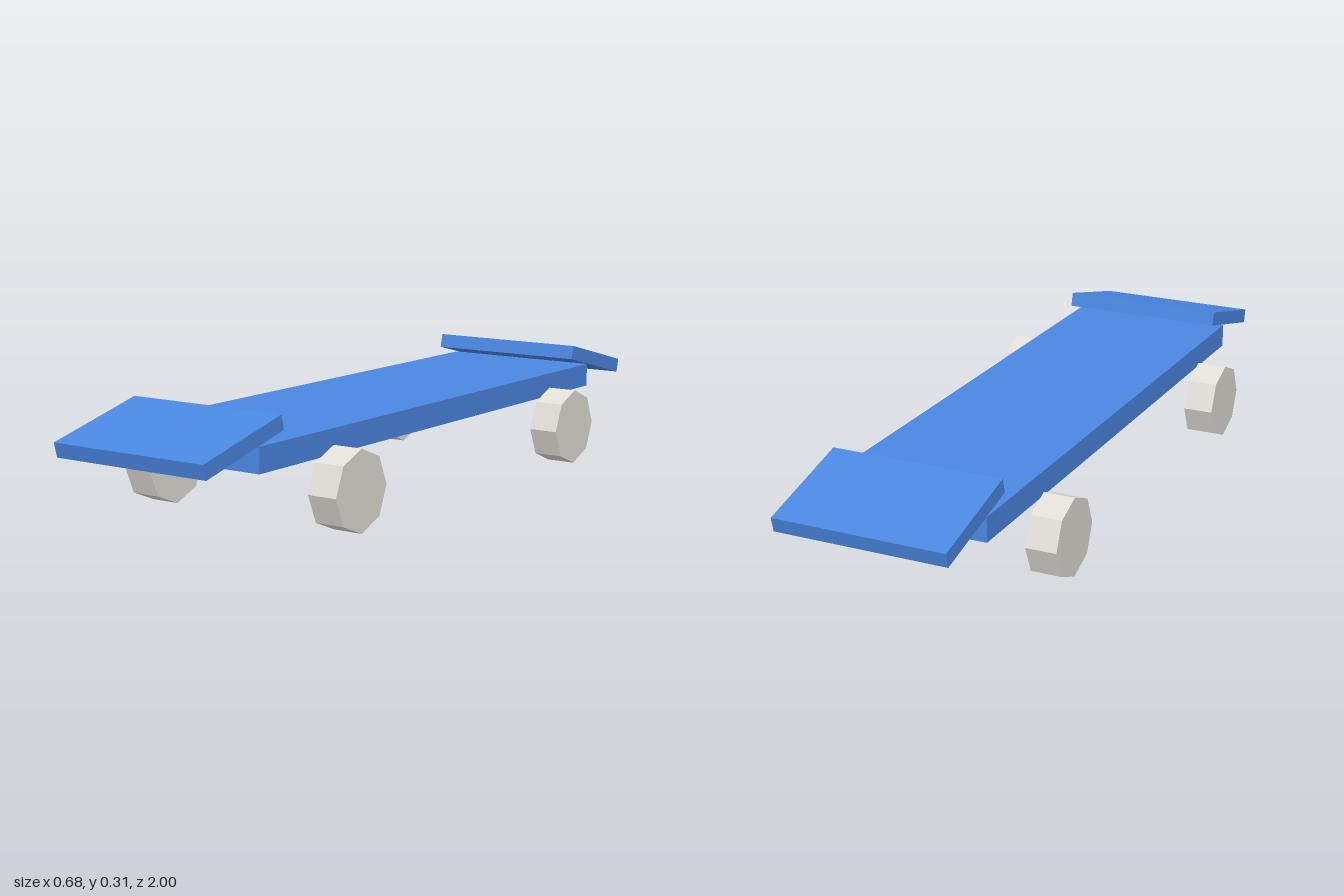
import * as THREE from 'three';

export function createModel() {
  const group = new THREE.Group();
  const boardBlue = new THREE.MeshStandardMaterial({ color: 0x4a86e0, flatShading: true });
  boardBlue.name = 'boardBlue';
  const wheelCream = new THREE.MeshStandardMaterial({ color: 0xe0ddd5, flatShading: true });
  wheelCream.name = 'wheelCream';

  const add = (name, geometry, material, x, y, z) => {
    const mesh = new THREE.Mesh(geometry, material);
    mesh.name = name;
    mesh.position.set(x, y, z);
    group.add(mesh);
    return mesh;
  };

  // Flat deck
  add('deck', new THREE.BoxGeometry(0.466, 0.066, 1.594), boardBlue, 0, 0.215, 0);

  // Nose and tail plates, sloping down towards the ends
  const plate = new THREE.BoxGeometry(0.466, 0.04, 0.298);
  for (const end of [1, -1]) {
    const mesh = add(end > 0 ? 'nose' : 'tail', plate, boardBlue, 0, 0.2565, end * 0.8505);
    mesh.rotation.x = end * 0.25;
  }

  // Four eight-sided wheels
  const wheel = new THREE.CylinderGeometry(0.1065, 0.1065, 0.084, 8).rotateZ(Math.PI / 2);
  for (const end of [1, -1]) {
    for (const side of [1, -1]) {
      const name = (end > 0 ? 'front' : 'back') + (side > 0 ? 'Left' : 'Right') + 'Wheel';
      add(name, wheel, wheelCream, side * 0.297, 0.1065, end * 0.531);
    }
  }
  return group;
}
